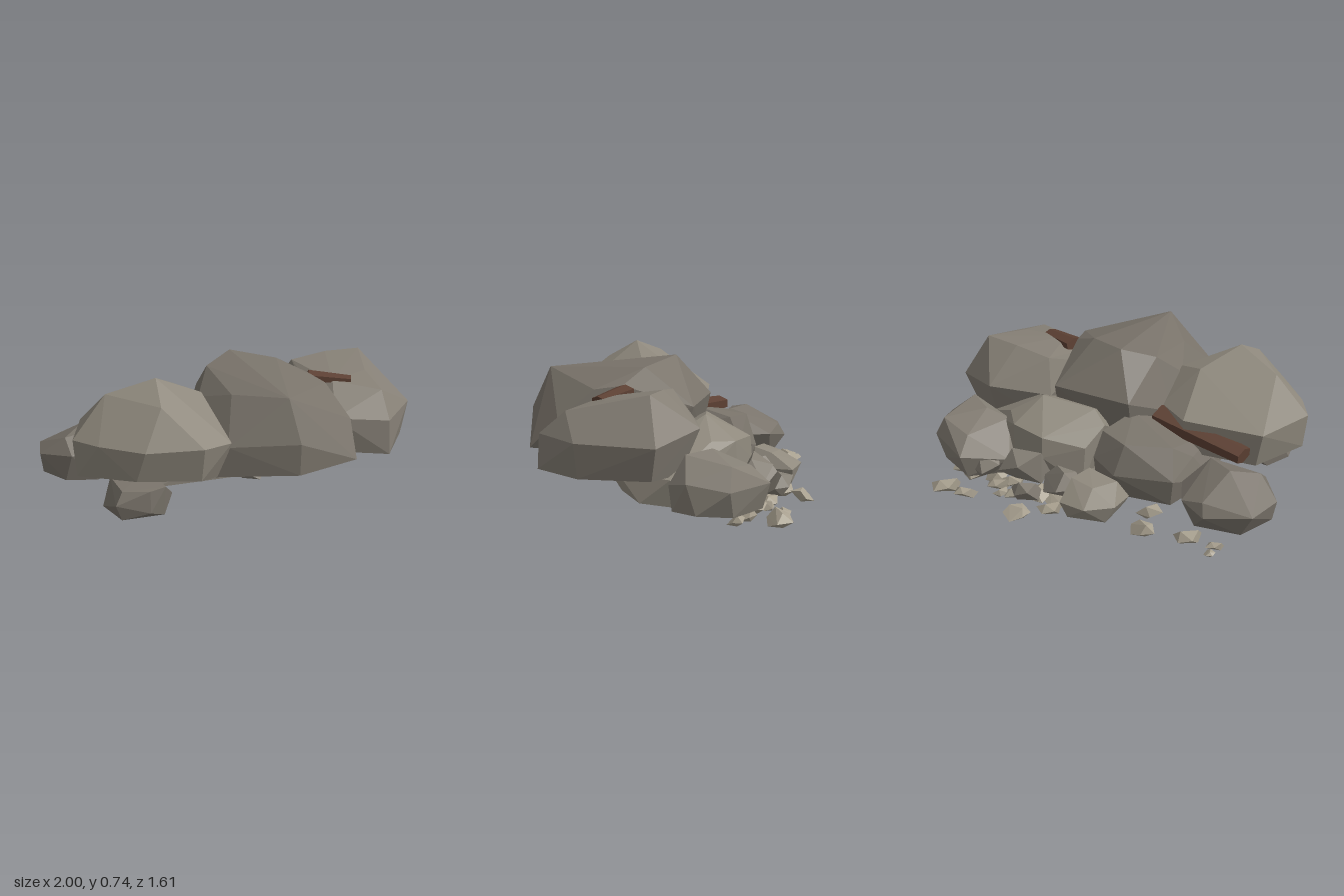
import * as THREE from 'three';
import { ConvexGeometry } from 'three/addons/geometries/ConvexGeometry.js';

const material = (color) => new THREE.MeshStandardMaterial({ color, flatShading: true, roughness: 1 });
const darkStone = material(0x79736a);
const midStone = material(0x857f75);
const lightStone = material(0x8f897d);
const pebbleStone = material(0xa8a08f);
const wood = material(0x5c4033);

// Small seeded generator so the rubble is always the same
function seeded(seed) {
  let s = seed;
  return () => (s = (s * 16807) % 2147483647) / 2147483647;
}

export function createModel() {
  const group = new THREE.Group();
  group.name = 'rockPile';

  const add = (name, geometry, mat) => {
    const mesh = new THREE.Mesh(geometry, mat);
    mesh.name = name;
    group.add(mesh);
    return mesh;
  };

  // Faceted boulder wrapped around a few corner points
  const boulder = (name, mat, corners) =>
    add(name, new ConvexGeometry(corners.map((c) => new THREE.Vector3(...c))), mat);

  // Three large boulders on top
  boulder('topBoulderRight', lightStone, [
    [-0.57, 0.745, 0.3], [-0.81, 0.66, 0.19], [-0.4, 0.65, 0.11], [-0.26, 0.6, 0.2], [-0.62, 0.64, 0.48],
    [-1, 0.44, 0.2], [-0.84, 0.44, -0.11], [-0.4, 0.46, -0.15], [-0.22, 0.45, 0], [-0.26, 0.48, 0.42],
    [-0.3, 0.45, 0.64], [-0.48, 0.46, 0.7], [-0.75, 0.44, 0.57], [-0.92, 0.44, 0.36],
    [-0.98, 0.24, 0.2], [-0.8, 0.23, -0.08], [-0.4, 0.25, -0.12], [-0.27, 0.25, 0.1],
    [-0.33, 0.25, 0.56], [-0.48, 0.28, 0.66], [-0.78, 0.28, 0.52],
  ]);
  boulder('topBoulderCentre', darkStone, [
    [0.02, 0.75, -0.02], [-0.16, 0.7, 0.06], [0.24, 0.71, 0.12], [0, 0.665, 0.7], [0.39, 0.63, 0.22],
    [-0.27, 0.57, 0.18], [-0.19, 0.635, 0.42], [-0.1, 0.52, -0.2], [0.36, 0.52, -0.16],
    [0.41, 0.61, 0.37], [0.46, 0.45, 0.56], [0.02, 0.44, 0.8], [-0.31, 0.42, 0.62], [-0.27, 0.4, 0.02],
    [-0.37, 0.25, 0.56], [0.02, 0.27, 0.79], [0.4, 0.28, 0.73], [0.45, 0.28, 0.4],
    [0.36, 0.28, -0.1], [-0.1, 0.28, -0.15], [-0.3, 0.25, 0.1], [0.02, 0.25, 0.6],
  ]);
  boulder('topBoulderLeft', midStone, [
    [0.85, 0.665, 0], [0.65, 0.66, -0.04], [0.44, 0.63, -0.06], [0.5, 0.59, 0.3], [0.74, 0.61, 0.25],
    [0.72, 0.55, 0.46], [0.38, 0.46, -0.17], [0.73, 0.48, -0.24], [0.99, 0.42, -0.05], [0.96, 0.43, 0.37],
    [0.68, 0.42, 0.61], [0.4, 0.44, 0.5], [0.37, 0.45, 0.3], [0.43, 0.24, 0.48], [0.68, 0.23, 0.62],
    [0.92, 0.24, 0.36], [0.93, 0.24, -0.02], [0.74, 0.24, -0.14], [0.42, 0.24, -0.1],
  ]);

  // Lower boulders carrying the top ones
  boulder('baseBoulderCentreRight', darkStone, [
    [-0.16, 0.39, -0.4], [-0.4, 0.37, -0.3], [0, 0.4, -0.32], [-0.48, 0.28, -0.2], [-0.1, 0.44, -0.12],
    [-0.5, 0.26, 0.15], [-0.05, 0.26, 0.24], [0.03, 0.26, -0.38], [-0.44, 0.22, -0.4], [-0.12, 0.22, -0.46],
    [-0.57, 0.11, -0.12], [-0.53, 0.1, 0.2], [-0.06, 0.11, 0.27], [0.1, 0.08, 0], [0, 0.06, -0.4],
    [-0.42, 0.06, -0.38],
  ]);
  boulder('baseBoulderCentreLeft', lightStone, [
    [0.02, 0.39, -0.25], [0.3, 0.36, -0.46], [0.5, 0.37, -0.4], [0.4, 0.49, -0.23], [0.1, 0.45, -0.2],
    [0.58, 0.38, -0.28], [0.08, 0.3, -0.38], [0.3, 0.24, -0.47], [0.16, 0.24, 0.2], [0.76, 0.24, 0.18],
    [0.84, 0.23, -0.1], [0.08, 0.11, 0.18], [0.4, 0.13, 0.27], [0.42, 0.24, 0.27], [0.76, 0.15, 0.16],
    [0.82, 0.1, 0.06], [0.82, 0.08, -0.15], [0.5, 0.06, -0.42], [0.1, 0.06, -0.38], [0.2, 0.05, 0.1],
  ]);
  boulder('backBoulderRight', darkStone, [
    [-0.74, 0.34, -0.35], [-0.6, 0.33, -0.25], [-0.66, 0.24, -0.55], [-0.88, 0.3, -0.25],
    [-1, 0.2, -0.33], [-0.93, 0.2, -0.53], [-0.68, 0.17, -0.59], [-0.53, 0.2, -0.51], [-0.47, 0.2, -0.34],
    [-0.6, 0.2, -0.15], [-0.88, 0.22, -0.15], [-0.98, 0.09, -0.34], [-0.86, 0.06, -0.5],
    [-0.6, 0.05, -0.5], [-0.52, 0.07, -0.3], [-0.72, 0.05, -0.18], [-0.9, 0.07, -0.2],
  ]);
  boulder('backBoulderLeft', midStone, [
    [0.86, 0.37, -0.18], [0.93, 0.33, -0.42], [0.72, 0.375, -0.3], [0.58, 0.34, -0.3], [0.74, 0.3, -0.5],
    [1, 0.25, -0.2], [0.99, 0.21, -0.42], [0.74, 0.21, -0.6], [0.5, 0.18, -0.47], [0.5, 0.2, -0.3],
    [0.9, 0.22, -0.1], [1, 0.09, -0.25], [0.93, 0.07, -0.43], [0.72, 0.07, -0.56], [0.52, 0.07, -0.42],
    [0.6, 0.07, -0.15], [0.92, 0.09, -0.12],
  ]);
  boulder('frontBoulderRight', darkStone, [
    [-0.82, 0.23, 0.26], [-0.6, 0.23, 0.24], [-0.84, 0.22, 0.47], [-0.6, 0.21, 0.48], [-0.88, 0.15, 0.48],
    [-0.88, 0.09, 0.3], [-0.7, 0.21, 0.51], [-0.7, 0.09, 0.51], [-0.52, 0.13, 0.38], [-0.84, 0.06, 0.46],
    [-0.6, 0.05, 0.46], [-0.56, 0.06, 0.26], [-0.78, 0.05, 0.22], [-0.7, 0.15, 0.16],
  ]);
  boulder('backBoulderCentre', lightStone, [
    [-0.06, 0.21, -0.6], [0.08, 0.22, -0.56], [-0.16, 0.22, -0.5], [0.02, 0.24, -0.46],
    [-0.06, 0.14, -0.72], [0.1, 0.13, -0.68], [-0.2, 0.14, -0.63], [-0.22, 0.13, -0.48], [0.11, 0.14, -0.47],
    [-0.15, 0.04, -0.64], [0.06, 0.04, -0.67], [0.08, 0.04, -0.46], [-0.17, 0.04, -0.42],
  ]);

  // Rubble: flat-bottomed, jittered stones with some corners knocked off
  const random = seeded(41);
  const corner = new THREE.Vector3();
  const up = new THREE.Vector3(0, 1, 0);
  const stone = (name, mat, x, y, z, rx, ry, rz) => {
    const source = new THREE.IcosahedronGeometry(1).attributes.position;
    const unique = new Map();
    for (let i = 0; i < source.count; i++) {
      corner.fromBufferAttribute(source, i);
      unique.set(corner.toArray().map((v) => Math.round(v * 100)).join(), corner.clone());
    }
    const turn = random() * Math.PI;
    const points = [...unique.values()].filter((p, i) => i % 4 !== 1).map((p) => {
      p.applyAxisAngle(up, turn).multiplyScalar(0.85 + random() * 0.4);
      p.y = Math.max(p.y, -0.6);
      return p.multiply(new THREE.Vector3(rx, ry, rz));
    });
    add(name, new ConvexGeometry(points), mat).position.set(x, y, z);
  };

  // Medium stones: behind, beneath and in the front gap
  [
    [0.39, 0.15, -0.48, 0.14, 0.12, 0.11], [0.18, 0.13, -0.49, 0.12, 0.1, 0.1],
    [0.32, 0.1, -0.62, 0.1, 0.08, 0.08], [0.62, 0.12, -0.48, 0.12, 0.09, 0.09],
    [0.02, 0.12, 0.2, 0.09, 0.075, 0.09], [-0.05, 0.08, -0.12, 0.17, 0.05, 0.14],
    [0.33, 0.08, -0.2, 0.15, 0.06, 0.13], [0.6, 0.08, -0.25, 0.13, 0.06, 0.12],
    [0.02, 0.07, -0.3, 0.13, 0.05, 0.12],
  ].forEach((s) => stone('mediumStone', midStone, ...s));

  // Loose pebbles: x, z, radius
  [
    [-0.75, -0.66, 0.035], [-0.76, -0.6, 0.05], [-0.61, -0.6, 0.085], [-0.35, -0.61, 0.08], [-0.34, -0.44, 0.08],
    [0.17, -0.63, 0.08], [0.68, -0.66, 0.07], [0.8, -0.65, 0.085], [0.5, -0.57, 0.05],
    [0.15, -0.43, 0.07], [0.27, -0.44, 0.08], [0.48, -0.45, 0.08], [0.6, -0.44, 0.07], [0.72, -0.47, 0.08],
    [0.3, -0.52, 0.09], [0.42, -0.56, 0.07], [0.82, -0.44, 0.06], [0.05, -0.55, 0.07],
    [0.55, -0.52, 0.07], [0.18, -0.54, 0.07],
  ].forEach(([x, z, r]) => stone('pebble', pebbleStone, x, 0.006 + r * 0.36, z, r, r * 0.6, r * 0.85));
  stone('pebble', pebbleStone, 0.33, 0.045, -0.74, 0.075, 0.04, 0.065);

  // Broken wooden beams wedged between the boulders, each a tapered six-sided bar
  const beam = (name, from, to, width, height) => {
    const a = new THREE.Vector3(...from);
    const b = new THREE.Vector3(...to);
    const bar = new THREE.CylinderGeometry(0.4, 0.58, a.distanceTo(b), 6);
    bar.rotateX(Math.PI / 2);
    bar.scale(width, height, 1);
    const mesh = add(name, bar, wood);
    mesh.position.copy(a).add(b).multiplyScalar(0.5);
    mesh.lookAt(b);
  };
  beam('longBeam', [-0.22, 0.39, -0.02], [-0.76, 0.34, -0.18], 0.16, 0.11);
  beam('shortBeam', [0.4, 0.605, 0.2], [0.61, 0.585, 0.31], 0.11, 0.06);

  return group;
}
